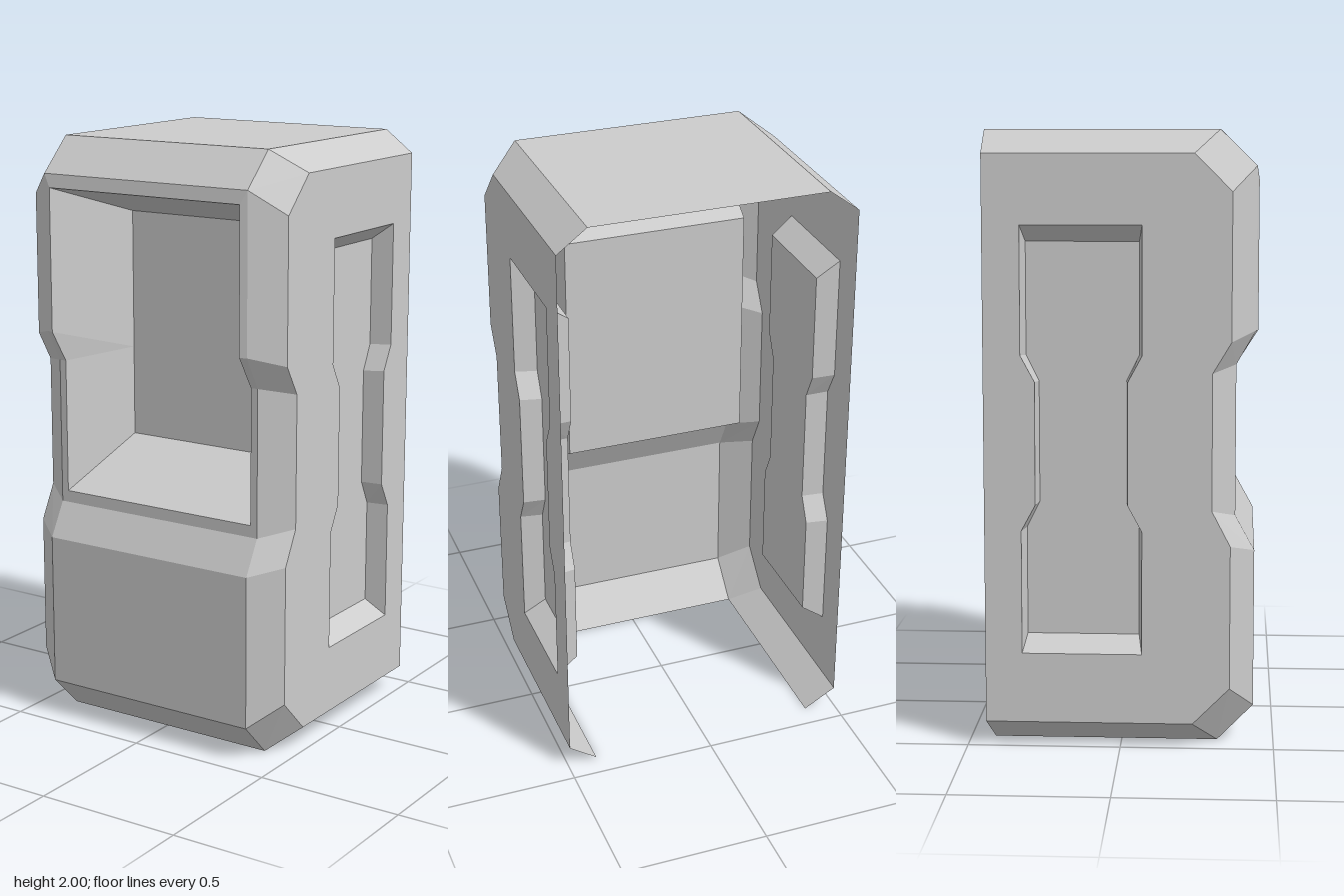
import * as THREE from 'three';

const material = new THREE.MeshStandardMaterial({ color: 0xcccccc, flatShading: true, side: THREE.DoubleSide });

// Profiles as [z, y], running from the back of the roof, over the front, to the back of the base
const crown = [[-0.44, 2], [0.315, 2], [0.433, 1.885], [0.433, 1.36], [0.37, 1.25],
  [0.37, 0.755], [0.433, 0.64], [0.433, 0.12], [0.315, 0], [-0.42, 0]];
const flank = [[-0.44, 1.925], [0.235, 1.925], [0.355, 1.805], [0.355, 1.33], [0.295, 1.23],
  [0.295, 0.785], [0.355, 0.67], [0.355, 0.2], [0.235, 0.08], [-0.44, 0.08]];
const CROWN_X = 0.395, FLANK_X = 0.495;

// Window: rim follows the stepped front, back plate is flat
const rim = [[0.44, 1.84], [0.44, 1.36], [0.37, 1.25], [0.37, 0.795]];
const plate = [[0.055, 1.725], [0.055, 1.36], [0.055, 1.25], [0.055, 0.94]];
const RIM_X = 0.37, PLATE_X = 0.315;

const at = (x, profile) => profile.map(([z, y]) => new THREE.Vector3(x, y, z));

// Surface of quads between two polylines
function strip(name, a, b) {
  const points = [];
  for (let i = 0; i < a.length - 1; i++) {
    points.push(a[i], a[i + 1], b[i + 1], a[i], b[i + 1], b[i]);
  }
  const geometry = new THREE.BufferGeometry().setFromPoints(points);
  geometry.computeVertexNormals();
  return named(name, geometry);
}

function named(name, geometry) {
  const mesh = new THREE.Mesh(geometry, material);
  mesh.name = name;
  return mesh;
}

// Waisted outline of the side recess, symmetric about its own centre
function waisted(halfWide, halfWaist, bottom, top, waistLow, waistHigh) {
  const mid = -0.125;
  const edge = [[halfWide, top], [halfWide, waistHigh + 0.085], [halfWaist, waistHigh],
    [halfWaist, waistLow], [halfWide, waistLow - 0.085], [halfWide, bottom]];
  return [...edge.map(([d, y]) => [mid + d, y]), ...edge.reverse().map(([d, y]) => [mid - d, y])];
}

function flat(outline, x, hole) {
  const toPoints = (list) => list.map(([z, y]) => new THREE.Vector2(z, y));
  const shape = new THREE.Shape(toPoints(outline));
  if (hole) shape.holes.push(new THREE.Path(toPoints(hole)));
  return new THREE.ShapeGeometry(shape).rotateY(-Math.PI / 2).translate(x, 0, 0);
}

// Everything that exists once per side, built at -x
function createSide(name) {
  const side = new THREE.Group();
  side.name = name;
  const opening = waisted(0.195, 0.149, 0.31, 1.7, 0.8, 1.2);
  const floor = waisted(0.183, 0.141, 0.36, 1.645, 0.8, 1.195);
  const closed = (loop) => [...loop, loop[0]];
  side.add(
    named('sidePanel', flat(flank, -FLANK_X, opening)),
    named('sideRecessFloor', flat(floor, -0.42)),
    strip('sideRecessWall', at(-0.42, closed(floor)), at(-FLANK_X, closed(opening))),
    strip('edgeBevel', at(-FLANK_X, flank), at(-CROWN_X, crown)),
    strip('windowFrame', at(-CROWN_X, crown.slice(2, 6)), at(-RIM_X, rim)),
    strip('windowSideWall', at(-RIM_X, rim), at(-PLATE_X, plate)),
  );
  return side;
}

export function createModel() {
  const model = new THREE.Group();
  model.name = 'cabinetShell';

  // Mirrored sides
  const right = createSide('rightSide');
  const left = createSide('leftSide');
  left.scale.x = -1;
  model.add(right, left);

  // Roof and lower front span the full width; back and underside stay open
  const span = (name, profile) => strip(name, at(-CROWN_X, profile), at(CROWN_X, profile));
  model.add(span('roof', crown.slice(0, 3)), span('lowerFront', crown.slice(5, 9)));

  // Window from lintel, through the recess, to the sill
  const path = [[CROWN_X, crown[2]], [RIM_X, rim[0]], [PLATE_X, plate[0]],
    [PLATE_X, plate[3]], [RIM_X, rim[3]], [CROWN_X, crown[5]]];
  const edge = (s) => path.map(([x, [z, y]]) => new THREE.Vector3(s * x, y, z));
  model.add(strip('windowRecess', edge(-1), edge(1)));

  return model;
}
